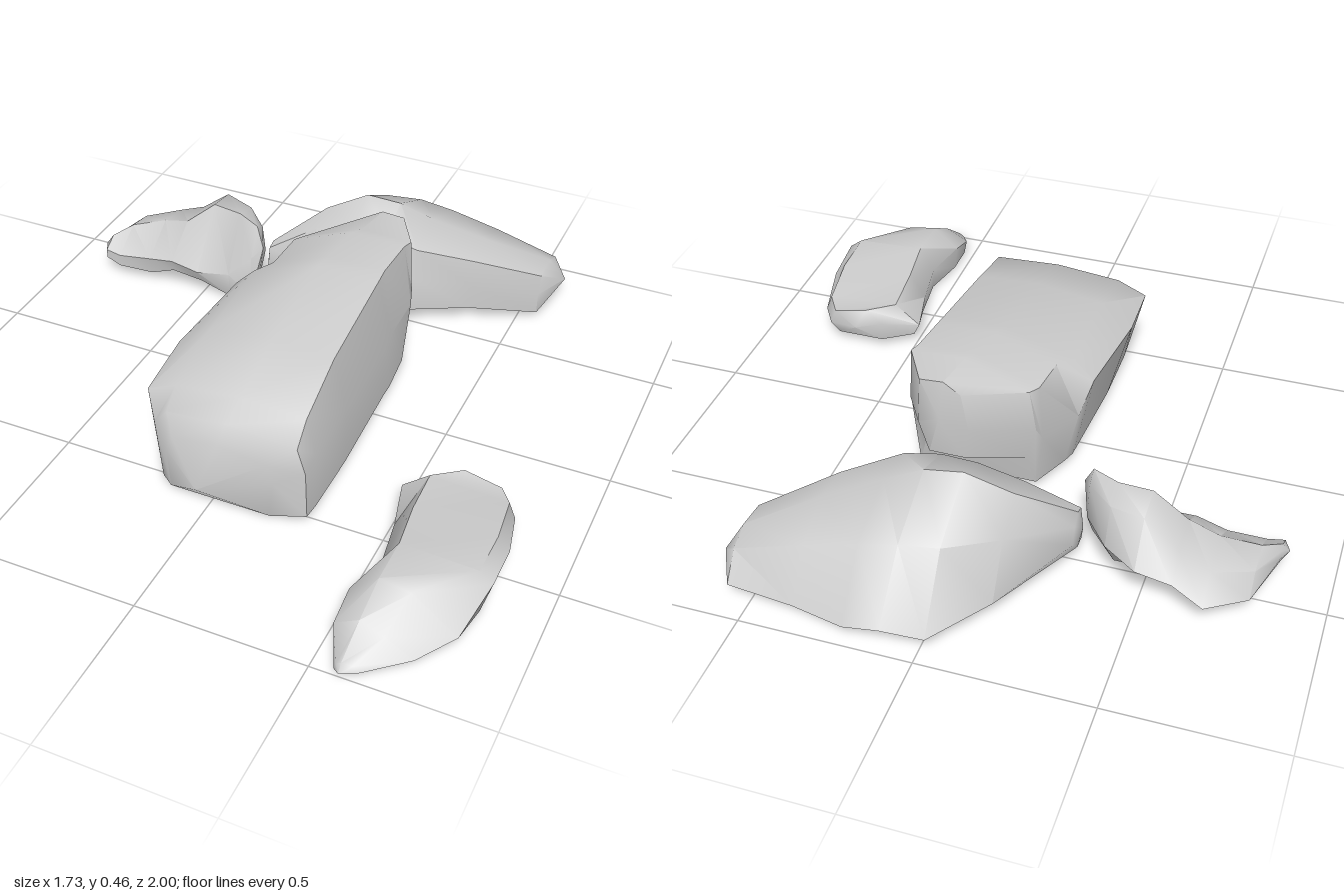
import * as THREE from 'three';
import { toCreasedNormals } from 'three/addons/utils/BufferGeometryUtils.js';

const stone = new THREE.MeshStandardMaterial({ color: 0xcccccc });

// Lofts a closed rock through rings [position, [u, y], [u, y], ...] set along
// an axis. u is x for a loft along z, and z for a loft along x.
function rock(name, axis, start, end, rings) {
  const place = (at, [u, y]) =>
    axis === 'z' ? new THREE.Vector3(u, y, at) : new THREE.Vector3(at, y, u);
  const loops = rings.map(([at, ...pts]) => pts.map((p) => place(at, p)));
  const first = new THREE.Vector3(...start);
  const last = new THREE.Vector3(...end);
  const n = loops[0].length;
  const corners = [];
  for (let j = 0; j < n; j++) {
    const k = (j + 1) % n;
    corners.push(loops[0][k], loops[0][j], first);
    for (let i = 0; i < loops.length - 1; i++) {
      const [a, b, c, d] = [loops[i][j], loops[i][k], loops[i + 1][k], loops[i + 1][j]];
      corners.push(a, b, c, a, c, d);
    }
    const tip = loops[loops.length - 1];
    corners.push(tip[j], tip[k], last);
  }
  const geometry = new THREE.BufferGeometry().setFromPoints(corners);
  const mesh = new THREE.Mesh(toCreasedNormals(geometry, 0.8), stone);
  mesh.name = name;
  return mesh;
}

export function createModel() {
  const group = new THREE.Group();
  group.name = 'rockGroup';

  // Tall central boulder: undercut back, stepped right side, rounded front wall
  group.add(rock('centralBoulder', 'z', [0.13, 0.34, -0.42], [-0.03, 0.06, 0.59], [
    [-0.4, [0.07, 0.2], [0.17, 0.2], [0.2, 0.3], [0.19, 0.45], [0.12, 0.455], [0.07, 0.42], [0.05, 0.3]],
    [-0.28, [-0.08, 0.14], [0.22, 0.16], [0.27, 0.28], [0.26, 0.45], [0.1, 0.455], [-0.09, 0.38], [-0.11, 0.25]],
    [-0.25, [-0.1, 0.03], [0.26, 0.03], [0.28, 0.25], [0.25, 0.45], [0.08, 0.455], [-0.11, 0.38], [-0.12, 0.2]],
    [-0.12, [-0.15, 0.02], [0.27, 0.02], [0.27, 0.22], [0.24, 0.44], [0.06, 0.44], [-0.12, 0.37], [-0.19, 0.2]],
    [-0.07, [-0.16, 0.01], [0.27, 0.02], [0.27, 0.2], [0.24, 0.43], [0.05, 0.435], [-0.16, 0.36], [-0.22, 0.3]],
    [0.25, [-0.18, 0.01], [0.28, 0.01], [0.28, 0.2], [0.24, 0.37], [0.05, 0.38], [-0.15, 0.35], [-0.25, 0.28]],
    [0.46, [-0.18, 0.01], [0.28, 0.01], [0.28, 0.2], [0.25, 0.31], [0.05, 0.32], [-0.15, 0.3], [-0.24, 0.26]],
    [0.52, [-0.17, 0.01], [0.28, 0.02], [0.275, 0.17], [0.25, 0.25], [0.03, 0.265], [-0.15, 0.25], [-0.19, 0.2]],
    [0.55, [-0.13, 0.01], [0.18, 0.01], [0.19, 0.13], [0.17, 0.19], [0.02, 0.21], [-0.12, 0.19], [-0.14, 0.14]],
  ]));

  // Broad slab behind: upright front wall, domed top and long wavy back slope
  group.add(rock('backSlab', 'x', [-0.31, 0.11, -0.48], [0.61, 0.08, -0.83], [
    [-0.3, [-0.46, 0.05], [-0.5, 0.05], [-0.55, 0.1], [-0.53, 0.15], [-0.5, 0.18], [-0.47, 0.17], [-0.46, 0.12]],
    [-0.15, [-0.46, 0.03], [-0.6, 0.03], [-0.79, 0.06], [-0.7, 0.21], [-0.6, 0.29], [-0.51, 0.26], [-0.45, 0.13]],
    [-0.02, [-0.45, 0.03], [-0.75, 0.02], [-0.96, 0.05], [-0.82, 0.25], [-0.63, 0.355], [-0.52, 0.3], [-0.43, 0.17]],
    [0.09, [-0.46, 0.03], [-0.75, 0.03], [-1, 0.09], [-0.84, 0.25], [-0.64, 0.345], [-0.51, 0.295], [-0.44, 0.18]],
    [0.2, [-0.48, 0.06], [-0.75, 0.03], [-0.99, 0.06], [-0.85, 0.23], [-0.66, 0.3], [-0.51, 0.27], [-0.49, 0.17]],
    [0.36, [-0.58, 0.05], [-0.78, 0.02], [-0.95, 0.05], [-0.86, 0.19], [-0.71, 0.24], [-0.59, 0.225], [-0.58, 0.14]],
    [0.56, [-0.69, 0.02], [-0.8, 0.02], [-0.93, 0.05], [-0.87, 0.13], [-0.8, 0.16], [-0.71, 0.15], [-0.69, 0.09]],
  ]));

  // Low crescent stone at the front left
  group.add(rock('crescentStone', 'z', [0.68, 0.08, 0.25], [0.58, 0.01, 1], [
    [0.28, [0.6, 0.03], [0.75, 0.03], [0.78, 0.06], [0.76, 0.11], [0.65, 0.135], [0.6, 0.09]],
    [0.34, [0.51, 0.03], [0.79, 0.02], [0.82, 0.07], [0.8, 0.12], [0.57, 0.135], [0.49, 0.07]],
    [0.5, [0.54, 0.01], [0.82, 0.01], [0.855, 0.1], [0.82, 0.14], [0.58, 0.15], [0.53, 0.07]],
    [0.65, [0.56, 0.01], [0.83, 0.01], [0.86, 0.12], [0.82, 0.15], [0.6, 0.16], [0.555, 0.08]],
    [0.79, [0.53, 0.01], [0.79, 0.01], [0.82, 0.04], [0.69, 0.145], [0.6, 0.16], [0.52, 0.09]],
    [0.89, [0.53, 0.01], [0.72, 0.01], [0.74, 0.02], [0.66, 0.07], [0.59, 0.1], [0.52, 0.06]],
    [0.98, [0.56, 0], [0.62, 0.01], [0.63, 0.015], [0.61, 0.03], [0.58, 0.03], [0.565, 0.02]],
  ]));

  // Ragged stone at the back right, thin at one end and humped at the other
  group.add(rock('raggedStone', 'x', [-0.87, 0.09, -0.38], [-0.29, 0.21, -0.4], [
    [-0.85, [-0.34, 0.06], [-0.39, 0.06], [-0.42, 0.09], [-0.41, 0.11], [-0.39, 0.12], [-0.34, 0.09]],
    [-0.8, [-0.34, 0.04], [-0.5, 0.04], [-0.59, 0.08], [-0.53, 0.13], [-0.44, 0.145], [-0.34, 0.08]],
    [-0.69, [-0.36, 0.03], [-0.55, 0.02], [-0.67, 0.09], [-0.59, 0.15], [-0.47, 0.175], [-0.35, 0.09]],
    [-0.6, [-0.35, 0.07], [-0.55, 0.05], [-0.65, 0.13], [-0.58, 0.19], [-0.46, 0.2], [-0.34, 0.11]],
    [-0.5, [-0.36, 0.05], [-0.52, 0.05], [-0.66, 0.16], [-0.57, 0.27], [-0.47, 0.285], [-0.33, 0.1]],
    [-0.4, [-0.37, 0.01], [-0.48, 0.01], [-0.59, 0.16], [-0.54, 0.26], [-0.46, 0.28], [-0.36, 0.1]],
    [-0.32, [-0.36, 0.04], [-0.42, 0.05], [-0.48, 0.15], [-0.46, 0.25], [-0.42, 0.275], [-0.37, 0.18]],
  ]));

  return group;
}
